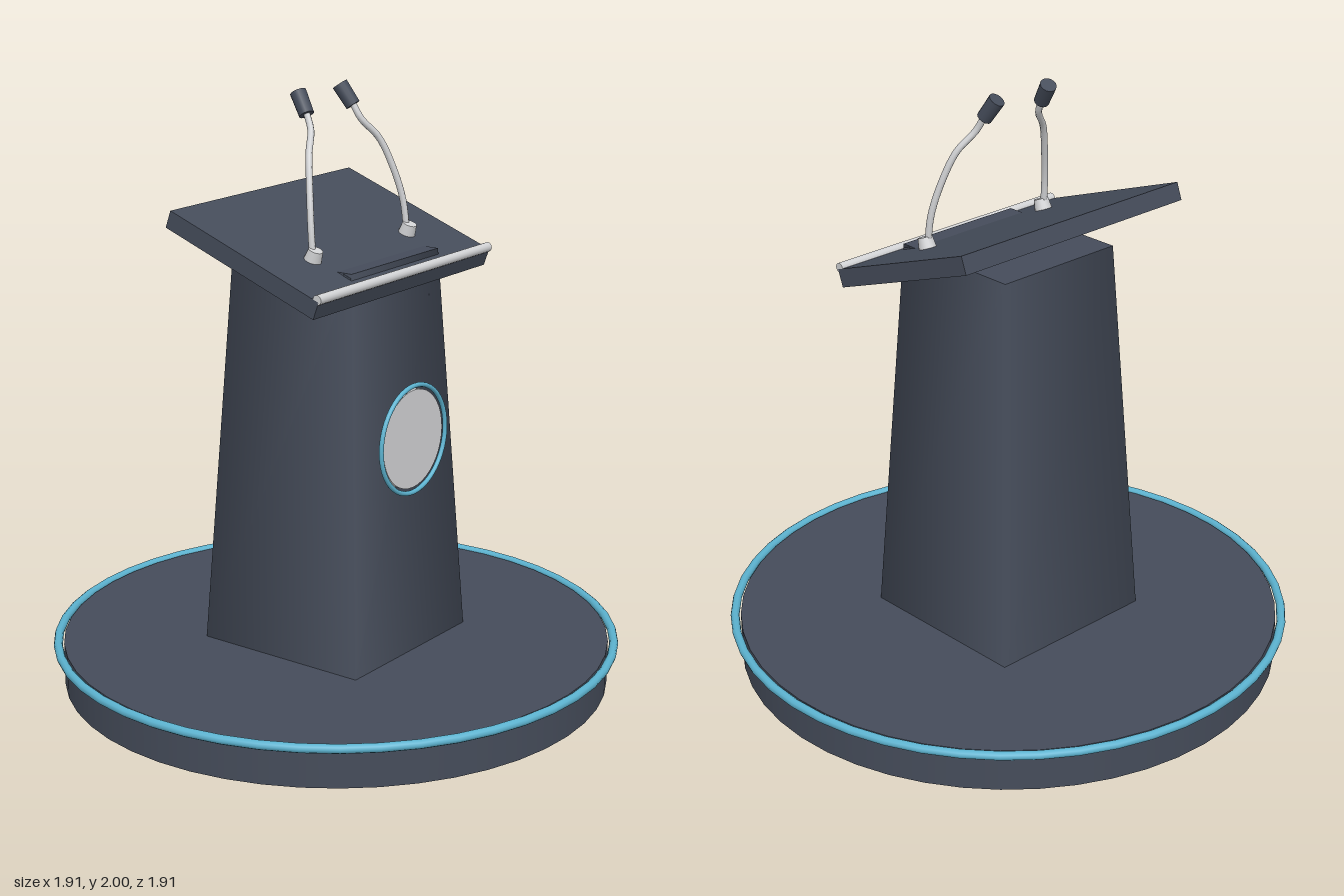
import * as THREE from 'three';

const material = (name, color) => {
  const m = new THREE.MeshStandardMaterial({ color });
  m.name = name;
  return m;
};

export function createModel() {
  const slate = material('slate', 0x454c5a);
  const silver = material('silver', 0xd2d3d5);
  const blue = material('blue', 0x5cb3d0);
  const model = new THREE.Group();
  model.name = 'lectern';

  const add = (parent, name, geometry, mat, x = 0, y = 0, z = 0) => {
    const mesh = new THREE.Mesh(geometry, mat);
    mesh.name = name;
    mesh.position.set(x, y, z);
    parent.add(mesh);
    return mesh;
  };

  // Round platform with a trim ring standing slightly clear of its edge
  add(model, 'platform', new THREE.CylinderGeometry(0.92, 0.92, 0.145, 48), slate, 0, 0.0725, 0);
  add(model, 'platformRing', new THREE.TorusGeometry(0.94, 0.015, 10, 48).rotateX(Math.PI / 2), blue, 0, 0.14, 0);

  // Tapered four-sided column with softly shaded sides
  const column = new THREE.CylinderGeometry(0.238 * Math.SQRT2, 0.312 * Math.SQRT2, 1.315, 4).rotateY(Math.PI / 4);
  add(model, 'column', column, slate, 0, 0.8025, 0);

  // Round badge on the front
  add(model, 'badgeDisc', new THREE.CylinderGeometry(0.165, 0.165, 0.018, 40).rotateX(Math.PI / 2), silver, 0, 0.88, 0.303);
  add(model, 'badgeRing', new THREE.TorusGeometry(0.18, 0.008, 10, 48), blue, 0, 0.88, 0.314);

  // Sloping desk, with its fittings placed in the desk's own frame
  const desk = new THREE.Group();
  desk.name = 'desk';
  desk.position.set(0, 1.5, -0.015);
  desk.rotation.x = THREE.MathUtils.degToRad(20);
  model.add(desk);
  add(desk, 'deskTop', new THREE.BoxGeometry(0.944, 0.06, 0.62), slate);
  add(desk, 'frontBar', new THREE.CylinderGeometry(0.016, 0.016, 0.944, 16).rotateZ(Math.PI / 2), silver, 0, 0.034, 0.302);
  add(desk, 'paperStop', new THREE.BoxGeometry(0.48, 0.012, 0.03), slate, 0, 0.03, 0.24);

  // Mirrored pair of gooseneck microphones
  for (const side of [-1, 1]) {
    const mic = new THREE.Group();
    mic.name = side > 0 ? 'leftMicrophone' : 'rightMicrophone';
    model.add(mic);
    add(desk, 'microphoneBase', new THREE.CylinderGeometry(0.024, 0.029, 0.036, 16), silver, side * 0.256, 0.048, 0.112);

    const path = new THREE.CatmullRomCurve3([
      [0.256, 1.5, 0.1], [0.25, 1.6, 0.089], [0.228, 1.7, 0.068],
      [0.188, 1.81, 0.035], [0.135, 1.875, 0.002], [0.123, 1.925, -0.024],
    ].map(([x, y, z]) => new THREE.Vector3(side * x, y, z)));
    add(mic, 'gooseneck', new THREE.TubeGeometry(path, 24, 0.011, 8), silver);

    const head = add(mic, 'microphoneHead', new THREE.CylinderGeometry(0.027, 0.025, 0.08, 14), slate, side * 0.117, 1.952, -0.045);
    const axis = new THREE.Vector3(side * -0.015, 0.075, -0.05).normalize();
    head.quaternion.setFromUnitVectors(new THREE.Vector3(0, 1, 0), axis);
  }
  return model;
}
